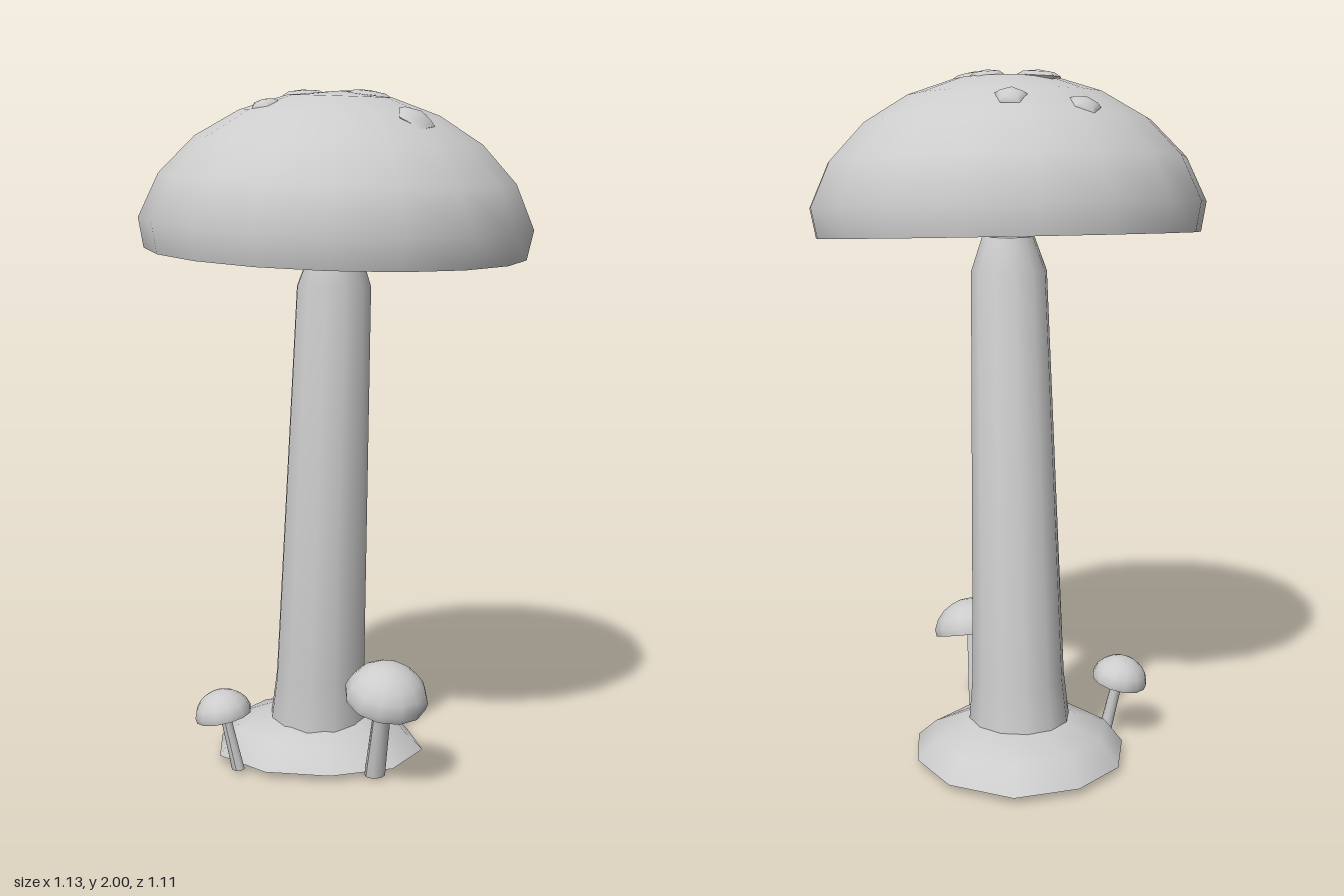
import * as THREE from 'three';
import { toCreasedNormals } from 'three/addons/utils/BufferGeometryUtils.js';

const grey = new THREE.MeshStandardMaterial({ color: 0xcccccc });
grey.name = 'grey';

// Cap outline as [radius, height], from the underside centre to the crown
const CAP = [[0, 0], [0.55, 0], [0.566, 0.085], [0.51, 0.21], [0.41, 0.315], [0.285, 0.39], [0.15, 0.435], [0, 0.45]];

function lathe(points, sides) {
  return new THREE.LatheGeometry(points.map(([r, y]) => new THREE.Vector2(r, y)), sides, Math.PI / 2);
}

// Move every vertex by a rule
function warp(geo, rule) {
  const p = geo.attributes.position;
  const v = new THREE.Vector3();
  for (let i = 0; i < p.count; i++) {
    rule(v.fromBufferAttribute(p, i));
    p.setXYZ(i, v.x, v.y, v.z);
  }
  return geo;
}

function part(name, geo, parent, crease = 0.8) {
  const mesh = new THREE.Mesh(toCreasedNormals(geo, crease), grey);
  mesh.name = name;
  parent.add(mesh);
  return mesh;
}

// Height and steepness of the cap at a given radius
function capSurface(r) {
  for (let i = 2; i < CAP.length - 1; i++) {
    const [r0, y0] = CAP[i], [r1, y1] = CAP[i + 1];
    if (r <= r0 && r >= r1) {
      const t = (r0 - r) / (r0 - r1);
      return { y: y0 + (y1 - y0) * t, slope: (y1 - y0) / (r0 - r1) };
    }
  }
  return { y: CAP[CAP.length - 1][1], slope: 0 };
}

function smallMushroom(name, foot, top, stemR, capAt, capR, capH, tiltX, tiltZ) {
  const g = new THREE.Group();
  g.name = name;
  // Leaning stem
  const h = top[1] - foot[1];
  const stem = lathe([[0, 0], [stemR, 0], [stemR * 0.8, h], [0, h]], 8);
  warp(stem, (v) => {
    v.x += (top[0] - foot[0]) * v.y / h;
    v.z += (top[2] - foot[2]) * v.y / h;
  });
  part('smallStem', stem, g).position.set(...foot);
  // Tilted cap
  const cap = lathe(CAP.map(([r, y]) => [r * capR / 0.566, y * capH / 0.45]), 12);
  const mesh = part('smallCap', cap, g);
  mesh.position.set(...capAt);
  mesh.rotation.set(tiltX, 0, tiltZ);
  return g;
}

export function createModel() {
  const model = new THREE.Group();
  model.name = 'mushroom';

  // Main stem, leaning as it rises
  const stem = lathe([[0, 0], [0.16, 0], [0.15, 0.12], [0.137, 0.25], [0.11, 1.44], [0.075, 1.54], [0, 1.54]], 12);
  warp(stem, (v) => {
    v.x += -0.081 + 0.049 * v.y;
    v.z += -0.097 + 0.06 * v.y;
  });
  part('stem', stem, model);

  // Uneven mound around the foot
  const mound = lathe([[0, 0.02], [0.31, 0.02], [0.255, 0.085], [0.15, 0.125], [0, 0.13]], 10);
  warp(mound, (v) => {
    const a = Math.atan2(v.z, v.x);
    const k = 1 + 0.035 * Math.sin(3 * a + 0.6);
    v.x *= k * 1.03;
    v.z *= k * 0.97;
    if (v.y > 0.03 && v.y < 0.12) v.y -= 0.012 * Math.cos(a);
    v.x -= 0.08;
    v.z -= 0.113;
  });
  part('mound', mound, model);

  // Main cap with its spots, tipped slightly forward and to its left
  const capGroup = new THREE.Group();
  capGroup.name = 'capWithSpots';
  capGroup.position.set(-0.004, 1.542, -0.005);
  capGroup.rotation.set(0.065, 0, -0.045);
  model.add(capGroup);
  part('cap', lathe(CAP, 18), capGroup);

  // Five-sided spots: x, z, radius
  const spots = [
    [-0.118, -0.28, 0.045], [-0.29, -0.185, 0.046], [-0.105, -0.033, 0.066], [0.025, -0.088, 0.052],
    [0.085, -0.035, 0.07], [-0.167, 0.17, 0.043], [0.26, 0.188, 0.058],
  ];
  spots.forEach(([sx, sz, r], i) => {
    const x = sx - 0.016, z = sz - 0.02;
    const d = Math.hypot(x, z);
    const { y, slope } = capSurface(d);
    const dome = lathe([[r * 0.9, -0.015], [r, 0], [r * 0.7, 0.011], [0, 0.016]], 5);
    dome.rotateY(i * 1.3);
    const spot = part('spot', dome, capGroup, 1.2);
    spot.position.set(x, y - 0.002, z);
    const normal = new THREE.Vector3(slope * x / d, 1, slope * z / d).normalize();
    spot.quaternion.setFromUnitVectors(new THREE.Vector3(0, 1, 0), normal);
  });

  // Two young mushrooms at the foot
  model.add(smallMushroom('leftSmallMushroom', [0.135, 0.008, 0.095], [0.173, 0.275, 0.155], 0.031,
    [0.178, 0.262, 0.16], 0.122, 0.112, 0.25, -0.2));
  model.add(smallMushroom('rightSmallMushroom', [-0.27, 0.012, 0.14], [-0.308, 0.19, 0.15], 0.02,
    [-0.309, 0.176, 0.15], 0.085, 0.08, 0.03, 0.2));

  return model;
}
